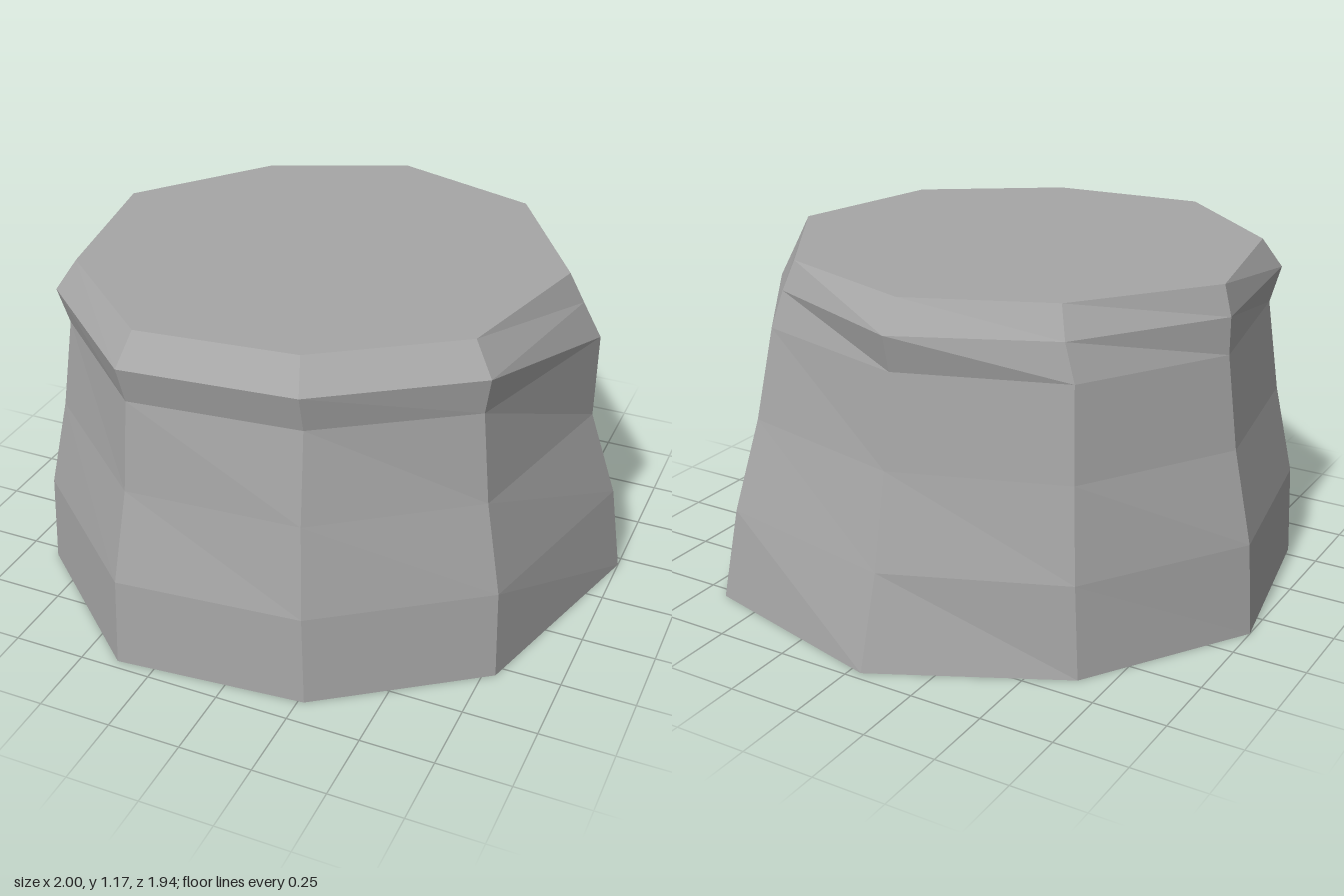
import * as THREE from 'three';

// Ring heights from the ground to the flat top
const heights = [0, 0.32, 0.635, 0.95, 1.075, 1.175];

// One upright per corner, clockwise from the back: [x, z] at each height
const uprights = [
  [[-0.04, -0.97], [-0.05, -0.89], [-0.04, -0.81], [-0.04, -0.77], [-0.04, -0.8], [-0.04, -0.72]],
  [[0.66, -0.79], [0.62, -0.75], [0.57, -0.67], [0.53, -0.62], [0.5, -0.59], [0.47, -0.56]],
  [[1, -0.21], [0.96, -0.19], [0.87, -0.15], [0.88, -0.12], [0.82, -0.1], [0.77, -0.09]],
  [[0.79, 0.54], [0.78, 0.53], [0.72, 0.5], [0.69, 0.49], [0.71, 0.5], [0.64, 0.45]],
  [[0.27, 0.91], [0.26, 0.9], [0.24, 0.85], [0.23, 0.8], [0.23, 0.83], [0.2, 0.75]],
  [[-0.38, 0.97], [-0.37, 0.96], [-0.35, 0.89], [-0.34, 0.86], [-0.35, 0.89], [-0.33, 0.81]],
  [[-0.88, 0.54], [-0.87, 0.53], [-0.81, 0.5], [-0.77, 0.48], [-0.8, 0.5], [-0.74, 0.46]],
  [[-1, -0.11], [-0.98, -0.11], [-0.91, -0.1], [-0.87, -0.1], [-0.87, -0.1], [-0.84, -0.09]],
  [[-0.65, -0.66], [-0.63, -0.65], [-0.6, -0.61], [-0.58, -0.58], [-0.54, -0.57], [-0.5, -0.52]],
];

const corner = (side, ring) => {
  const [x, z] = uprights[side % uprights.length][ring];
  return [x, heights[ring], z];
};

function facets(triangles) {
  const geometry = new THREE.BufferGeometry();
  geometry.setAttribute('position', new THREE.Float32BufferAttribute(triangles.flat(2), 3));
  geometry.computeVertexNormals();
  return geometry;
}

// Band of quads joining rings first..last
function wall(first, last) {
  const triangles = [];
  for (let r = first; r < last; r++) {
    for (let s = 0; s < uprights.length; s++) {
      const a = corner(s, r), b = corner(s, r + 1), c = corner(s + 1, r + 1), d = corner(s + 1, r);
      triangles.push([a, b, c], [a, c, d]);
    }
  }
  return facets(triangles);
}

// Flat fan closing one ring
function cap(ring, up) {
  const centre = [0, heights[ring], 0];
  return facets(uprights.map((_, s) => up
    ? [centre, corner(s + 1, ring), corner(s, ring)]
    : [centre, corner(s, ring), corner(s + 1, ring)]));
}

export function createModel() {
  const model = new THREE.Group();
  model.name = 'rockStump';
  const stone = new THREE.MeshStandardMaterial({ color: 0xa6a6a6 });
  stone.name = 'grey stone';
  stone.flatShading = true;

  const add = (name, geometry) => {
    const mesh = new THREE.Mesh(geometry, stone);
    mesh.name = name;
    model.add(mesh);
  };
  add('body', wall(0, 3));
  add('lip', wall(3, 5));
  add('flatTop', cap(5, true));
  add('underside', cap(0, false));
  return model;
}
